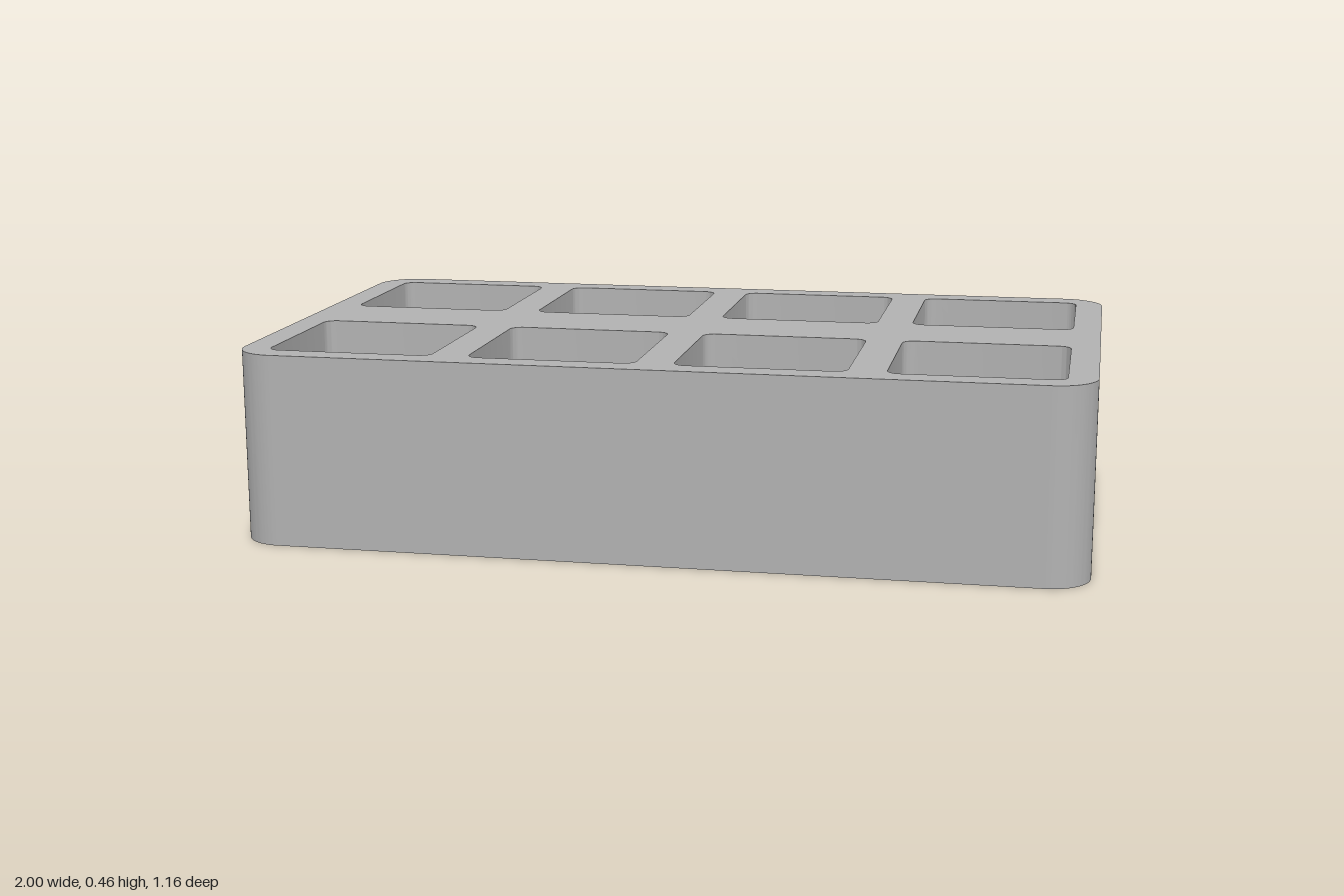
import * as THREE from 'three';
import { toCreasedNormals } from 'three/addons/utils/BufferGeometryUtils.js';

const HEIGHT = 0.46;
const WEB = 0.06; // floor between the upper and lower pockets
const POCKET = 0.4;
const POCKET_RADIUS = 0.03;

// Trace a rounded rectangle centred on (cx, cy)
function roundedRect(path, cx, cy, w, h, r) {
  const x = w / 2 - r, y = h / 2 - r;
  path.absarc(cx + x, cy + y, r, 0, Math.PI / 2);
  path.absarc(cx - x, cy + y, r, Math.PI / 2, Math.PI);
  path.absarc(cx - x, cy - y, r, Math.PI, Math.PI * 1.5);
  path.absarc(cx + x, cy - y, r, Math.PI * 1.5, Math.PI * 2);
  path.closePath();
  return path;
}

// Extrude a plan shape upwards, keeping flat edges sharp and corners smooth
function extrudeUp(shape, depth, y) {
  const geometry = new THREE.ExtrudeGeometry(shape, { depth, bevelEnabled: false, curveSegments: 16 });
  geometry.rotateX(-Math.PI / 2).translate(0, y, 0);
  return toCreasedNormals(geometry, 0.5);
}

export function createModel() {
  const group = new THREE.Group();
  group.name = 'pocketedBlock';
  const grey = new THREE.MeshStandardMaterial({ color: 0xb2b2b2 });
  grey.name = 'grey';

  // Block with a 4 x 2 grid of square openings
  const plan = roundedRect(new THREE.Shape(), 0, 0, 2, 1.16, 0.1);
  const centres = [];
  for (const z of [-0.313, 0.313]) {
    for (let i = 0; i < 4; i++) centres.push([(i - 1.5) * 0.488, z]);
  }
  for (const [x, z] of centres) {
    plan.holes.push(roundedRect(new THREE.Path(), x, z, POCKET, POCKET, POCKET_RADIUS));
  }
  const body = new THREE.Mesh(extrudeUp(plan, HEIGHT, 0), grey);
  body.name = 'body';
  group.add(body);

  // Floors halfway up, dividing each opening into upper and lower pockets
  const floorPlan = roundedRect(new THREE.Shape(), 0, 0, POCKET, POCKET, POCKET_RADIUS);
  const floorGeometry = extrudeUp(floorPlan, WEB, (HEIGHT - WEB) / 2);
  centres.forEach(([x, z], i) => {
    const floor = new THREE.Mesh(floorGeometry, grey);
    floor.name = `pocketFloor${i + 1}`;
    floor.position.set(x, 0, z);
    group.add(floor);
  });

  return group;
}
